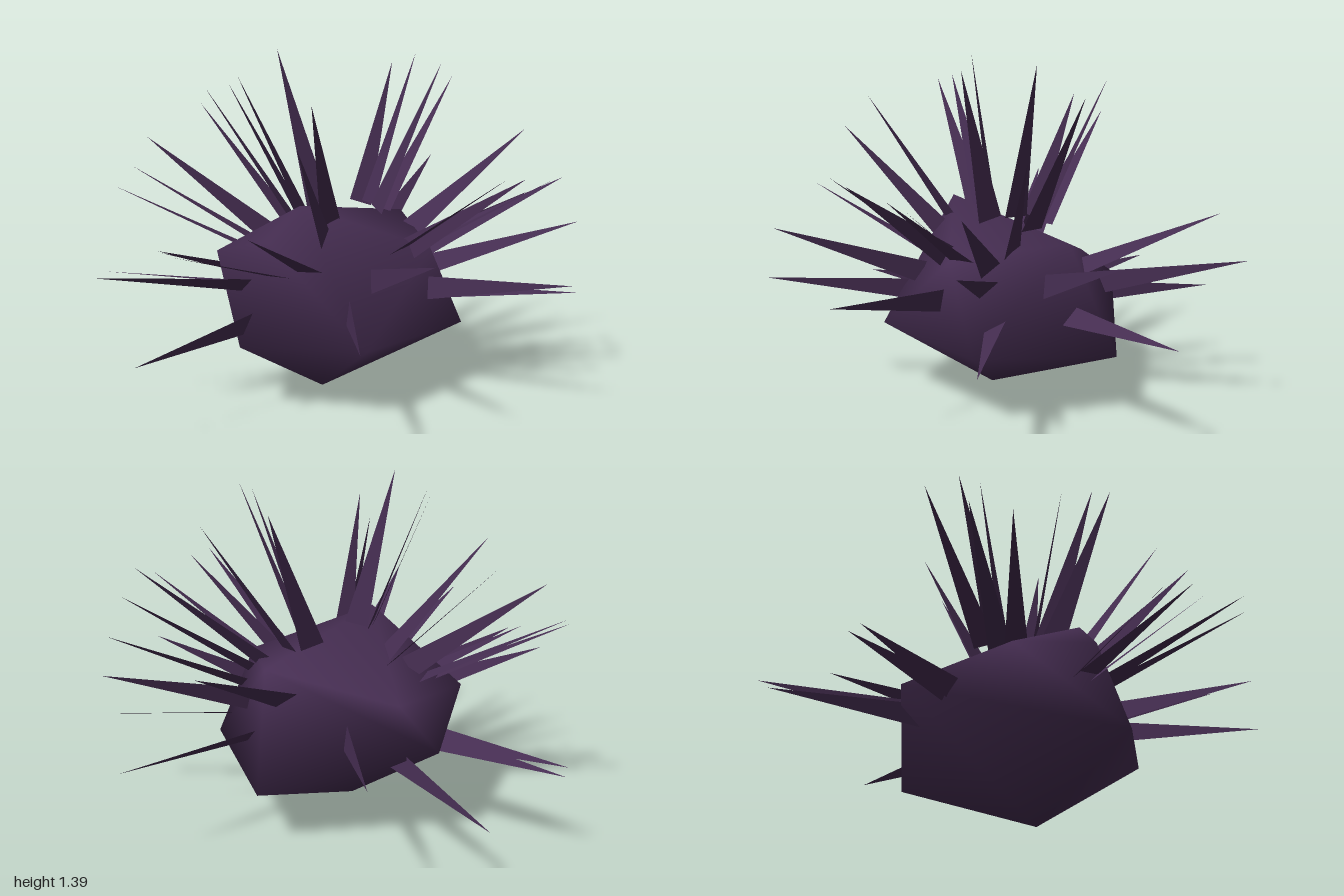
import * as THREE from 'three';
import { mergeVertices } from 'three/addons/utils/BufferGeometryUtils.js';
import { ConvexGeometry } from 'three/addons/geometries/ConvexGeometry.js';

const CENTER = new THREE.Vector3(-0.03, 0.4, 0);
const UP = new THREE.Vector3(0, 1, 0);

// Lopsided twelve-cornered body: bottom point, lower ring, upper ring, top point
const BODY = [
  [-0.1, 0, 0.07],
  [0.47, 0.28, 0.02], [0.2, 0.24, -0.49], [-0.48, 0.42, -0.4], [-0.37, 0.28, 0.42], [0.12, 0.3, 0.48],
  [0.34, 0.62, 0.14], [0.2, 0.68, -0.3], [-0.32, 0.55, -0.28], [-0.55, 0.55, 0], [-0.28, 0.67, 0.31],
  [-0.16, 0.8, 0.25],
];

// Spike tips, grouped by how far the blade is rolled about its own axis (degrees)
const SPIKES = [
  { roll: 80, tips: [
    [-0.67, 0.33, -0.82], [-0.27, 0.54, -0.99], [0.76, 0.72, -0.55], [-0.66, 0.33, 0.8],
    [-0.1, 1.09, 0.71], [0.14, 0.47, 0.98], [0.37, 0.73, 0.84], [0.68, 0.95, 0.42],
    [0.86, 0.56, 0.42], [-0.86, 1.01, -0.1],
  ] },
  { roll: 5, tips: [
    [-0.94, 0.88, -0.13], [-0.97, 0.82, 0.02], [-0.81, 0.62, 0.61], [-0.5, 0.74, 0.84],
    [-0.23, 0.82, 0.9], [0.62, 0.97, 0.5], [0.8, 0.92, 0.23], [-0.68, 1.13, -0.32],
    [0.26, 1.36, -0.18], [0.41, 1.25, -0.38],
  ] },
  { roll: 25, tips: [[0.95, 0.38, -0.11]] },
  { roll: 45, tips: [
    [0.32, 0.84, -0.86], [0.65, 0.42, -0.74], [-0.94, 0.4, -0.5], [-0.95, 0.42, -0.46],
    [-0.9, 0.56, 0.5], [-0.76, 0.6, 0.65], [-0.065, 1.22, 0.59], [0.93, 0.7, -0.04],
    [0.86, 0.88, -0.04], [-0.63, 1.21, -0.2], [-0.25, 1.39, 0.19], [0.37, 1.34, 0.08],
    [0.72, 1.05, -0.23], [0.15, 1.31, -0.43],
  ] },
  { roll: -45, tips: [[-0.4, 1.28, 0.38], [-0.38, 1.3, 0.31]] },
];

// Flat triangular blade pointing away from the body centre
function spikeGeometry(tip, roll) {
  const axis = tip.clone().sub(CENTER);
  const base = CENTER.clone().addScaledVector(axis, 0.37);
  axis.normalize();
  const across = new THREE.Vector3().crossVectors(UP, axis).normalize();
  const side = across.applyAxisAngle(axis, THREE.MathUtils.degToRad(roll)).multiplyScalar(0.048);
  const geometry = new THREE.BufferGeometry().setFromPoints([
    base.clone().sub(side), base.clone().add(side), tip,
  ]);
  geometry.computeVertexNormals();
  return geometry;
}

export function createModel() {
  const model = new THREE.Group();
  model.name = 'spikyCreature';
  const purple = new THREE.MeshStandardMaterial({ color: 0x452d51, side: THREE.DoubleSide });
  purple.name = 'dark purple';

  // Body with smooth shading across its facets
  let hull = new ConvexGeometry(BODY.map((p) => new THREE.Vector3(...p)));
  hull.deleteAttribute('normal');
  hull = mergeVertices(hull);
  hull.computeVertexNormals();
  const body = new THREE.Mesh(hull, purple);
  body.name = 'body';
  model.add(body);

  // Spikes over the sides and top
  const spikes = new THREE.Group();
  spikes.name = 'spikes';
  for (const { roll, tips } of SPIKES) {
    for (const tip of tips) {
      const spike = new THREE.Mesh(spikeGeometry(new THREE.Vector3(...tip), roll), purple);
      spike.name = 'spike';
      spikes.add(spike);
    }
  }
  model.add(spikes);
  return model;
}
